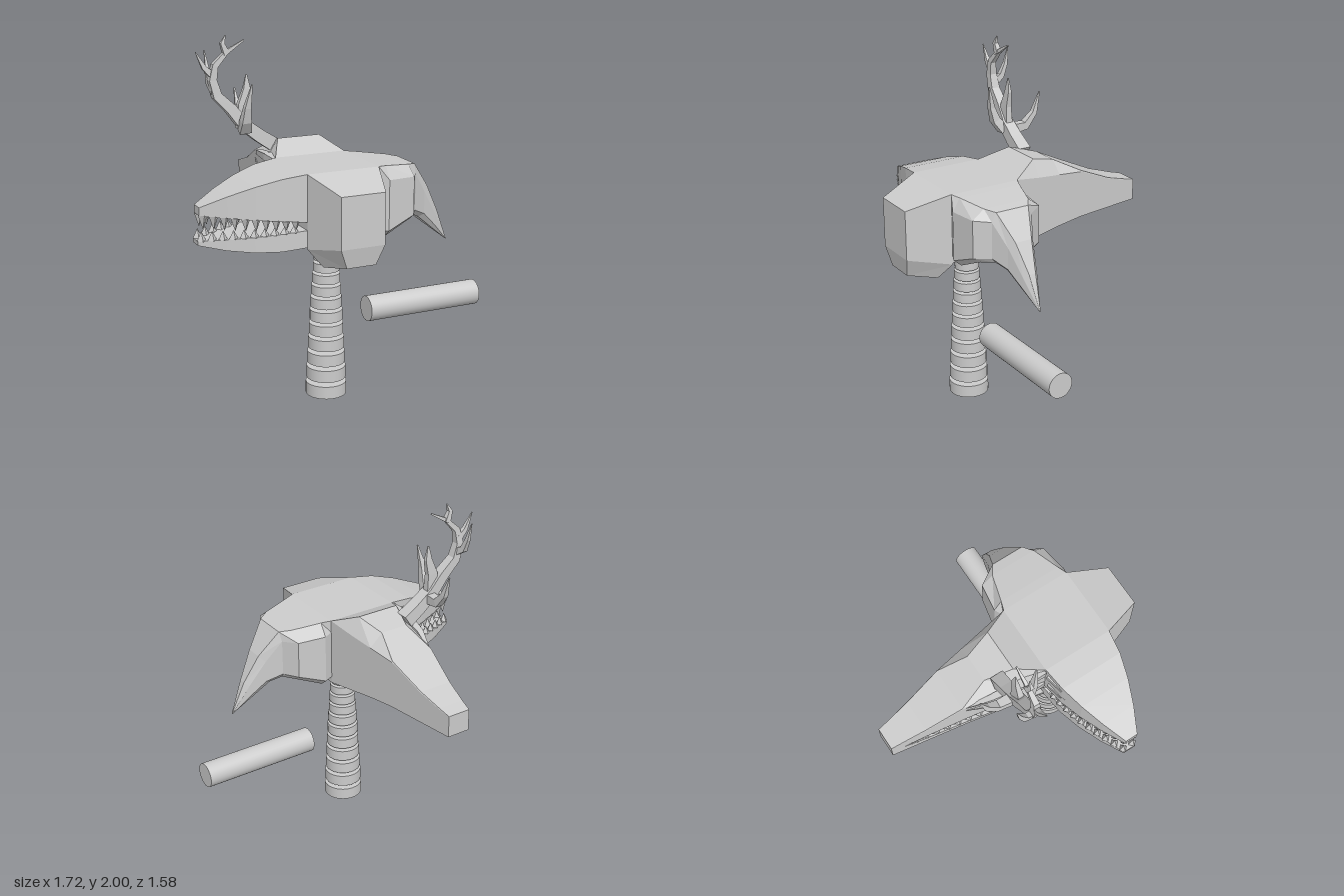
import * as THREE from 'three';

const V = (x, y, z) => new THREE.Vector3(x, y, z);
const X = V(1, 0, 0), Y = V(0, 1, 0), Z = V(0, 0, 1);
const CX = -0.1, CZ = 0.34;
const flat = new THREE.MeshStandardMaterial({ color: 0xcccccc, flatShading: true });
const smooth = new THREE.MeshStandardMaterial({ color: 0xcccccc });

// Skin a row of equal-sized cross-sections, with fan caps, facing outward
function loft(rings) {
  const tris = [], n = rings[0].length;
  for (let i = 0; i < rings.length - 1; i++)
    for (let j = 0; j < n; j++) {
      const k = (j + 1) % n, a = rings[i], b = rings[i + 1];
      tris.push([a[j], b[j], b[k]], [a[j], b[k], a[k]]);
    }
  const s = rings[0], e = rings[rings.length - 1];
  for (let j = 1; j < n - 1; j++) tris.push([s[0], s[j], s[j + 1]], [e[0], e[j + 1], e[j]]);
  const cross = (a, b, c) => b.clone().sub(a).cross(c.clone().sub(a));
  let volume = 0;
  for (const [a, b, c] of tris) volume += a.clone().sub(s[0]).dot(cross(a, b, c));
  const points = tris.filter(([a, b, c]) => cross(a, b, c).length() > 1e-9)
    .flatMap(([a, b, c]) => (volume < 0 ? [a, c, b] : [a, b, c]));
  const g = new THREE.BufferGeometry().setFromPoints(points);
  g.computeVertexNormals();
  return g;
}

// Four-sided branch that tapers to a tip; widest where bulge of its length is passed
function branch(ref, width, depth, points) {
  const p = points.map(q => V(...q)), last = p.length - 1;
  return loft(p.map((c, i) => {
    const t = p[Math.min(i + 1, last)].clone().sub(p[Math.max(i - 1, 0)]).normalize();
    const u = t.clone().cross(ref).normalize(), w = u.clone().cross(t).normalize();
    const f = Math.max(0.1, Math.pow(1 - i / last, 0.6));
    return [[1, 1], [-1, 1], [-1, -1], [1, -1]].map(([a, b]) =>
      c.clone().addScaledVector(u, a * f * width).addScaledVector(w, b * f * depth));
  }));
}

export function createModel() {
  const model = new THREE.Group();
  const group = name => {
    const g = new THREE.Group();
    g.name = name;
    model.add(g);
    return g;
  };
  const add = (name, geo, mat = flat, parent = model) => {
    const m = new THREE.Mesh(geo, mat);
    m.name = name;
    parent.add(m);
    return m;
  };

  // Handle: separate stacked rings, thinner and closer towards the top
  const handle = group('handle');
  for (let i = 0; i < 12; i++) {
    const h = 0.072 - 0.0026 * i, r = 0.115 - 0.0046 * i;
    add('handleRing', new THREE.CylinderGeometry(r, r, h, 32), smooth, handle)
      .position.set(CX, 0.098 * i - 0.0019 * i * i + h / 2, CZ);
  }

  // Loose rod beside the handle
  const rod = add('rod', new THREE.CylinderGeometry(0.073, 0.073, 0.705, 32), smooth);
  rod.rotation.z = Math.PI / 2;
  rod.position.set(0.505, 0.46, CZ);

  // Central core
  add('core', new THREE.BoxGeometry(0.42, 0.4, 0.42)).position.set(CX, 1.14, CZ);

  // Front hammer block with tapered cheeks and chin: [halfWidth, y, z]
  const block = [[0.21, 0.93, 0.55], [0.21, 1.34, 0.55], [0.128, 1.265, 0.79],
    [0.128, 0.98, 0.79], [0.085, 0.87, 0.77], [0.145, 0.84, 0.61]];
  add('frontBlock', loft([-1, 1].map(s => block.map(([w, y, z]) => V(CX + s * w, y, z)))));

  // Hooked beak: [topX, topY, topHalfWidth, midHalfWidth, bottomY, backward slant]
  const beak = [[0.11, 1.34, 0.21, 0.21, 0.94, 0], [0.165, 1.335, 0.19, 0.235, 0.94, 0],
    [0.33, 1.315, 0.14, 0.21, 1.015, 0], [0.39, 1.305, 0.1, 0.125, 1.015, 0.01],
    [0.5, 1.16, 0.05, 0.08, 0.985, 0.06], [0.585, 1, 0.02, 0.045, 0.905, 0.045],
    [0.66, 0.815, 0.002, 0.003, 0.81, 0]];
  add('beak', loft(beak.map(([x, top, tw, mw, bottom, slant]) => {
    const high = top - 0.18 * (top - bottom), low = bottom + 0.1 * (top - bottom);
    const half = s => [V(x, top, CZ + s * tw), V(x - slant / 2, high, CZ + s * mw),
      V(x - slant / 2, low, CZ + s * mw), V(x - slant, bottom, CZ + s * mw * 0.8)];
    return [...half(1), ...half(-1).reverse()];
  })));

  // Open jaws narrowing towards the tip
  const jawWidth = t => 0.21 - 0.172 * Math.pow(t, 1.6);
  const jaw = (length, top, bottom) => loft([0, 0.25, 0.5, 0.75, 1].map(t => {
    const x = -0.31 - length * t, w = jawWidth(t);
    return [V(x, top(t), CZ - w), V(x, top(t), CZ + w),
      V(x, bottom(t), CZ + w), V(x, bottom(t), CZ - w)];
  }));
  add('upperJaw', jaw(0.54, t => 1.34 - 0.16 * Math.pow(t, 1.6), t => 1.08 + 0.055 * t));
  add('lowerJaw', jaw(0.55, t => 1.035 - 0.037 * t, t => 0.94 - 0.07 * t + 0.105 * t * t));

  // A tooth pointing up (dir 1) or down (dir -1) from its root
  const teeth = group('teeth');
  const tooth = (x, y, z, h, dir) => {
    const t = add('tooth', new THREE.ConeGeometry(0.026, h, 4), flat, teeth);
    t.position.set(x, y + dir * h * 0.45, z);
    if (dir < 0) t.rotation.x = Math.PI;
  };
  for (let i = 0; i < 10; i++) {
    const t = 0.96 - i * 0.095, x = -0.31 - 0.54 * t, w = jawWidth(t) - 0.018;
    for (const s of [-1, 1]) {
      tooth(x, 1.08 + 0.055 * t, CZ + s * w, 0.055 + 0.025 * t, -1);
      tooth(x - 0.01, 1.035 - 0.037 * t, CZ + s * w, 0.035 + 0.02 * t, 1);
    }
  }

  // Long rear snout with a mouth groove in its right side: [z, top inset, topY]
  const snout = [[0.13, 0, 1.34], [-0.03, 0.058, 1.41], [-0.19, 0.077, 1.365],
    [-0.36, 0.003, 1.278], [-0.58, 0.003, 1.18], [-0.72, 0.002, 1.138], [-0.79, 0, 1.12]];
  const rightSide = z => -0.31 + 0.158 * (0.13 - z);
  const floor = z => Math.min(0.94 + 0.125 * (0.13 - z), 0.993);
  const groove = z => Math.sqrt(Math.max(0, (z + 0.72) / 0.85));
  add('snout', loft(snout.map(([z, inset, top]) => {
    const r = rightSide(z), l = 0.11 - 0.152 * (0.13 - z), b = floor(z);
    const side = Math.min(top - 0.005, 1.335 - 0.13 * (0.13 - z));
    const g = 0.045 * groove(z), d = 0.06 * groove(z), m = b + 0.065;
    return [V(l - inset, top, z), V(l, side, z), V(l, b, z), V(r, b, z), V(r, m - g, z),
      V(r + d, m - g, z), V(r + d, m + g, z), V(r, m + g, z), V(r, side, z),
      V(r + inset, top, z)];
  })));
  for (let i = 0; i < 12; i++) {
    const z = -0.67 + i * 0.064, x = rightSide(z) + 0.018;
    const m = floor(z) + 0.065, g = 0.045 * groove(z), h = 0.025 + 0.03 * groove(z);
    tooth(x, m + g, z, h, -1);
    tooth(x, m - g, z + 0.03, h * 0.8, 1);
  }

  // Eye sockets: brow and cheek ridges on the snout and the upper jaw
  add('snoutBrow', branch(Y, 0.035, 0.025,
    [[-0.29, 1.31, 0.12], [-0.3, 1.32, 0], [-0.27, 1.3, -0.2], [-0.225, 1.26, -0.36]]));
  add('snoutCheek', branch(Y, 0.03, 0.025,
    [[-0.29, 1.13, 0.12], [-0.3, 1.14, 0], [-0.265, 1.16, -0.18], [-0.235, 1.23, -0.34]]));
  add('jawBrow', branch(Y, 0.015, 0.018,
    [[-0.33, 1.28, 0.135], [-0.42, 1.27, 0.15], [-0.53, 1.21, 0.178]]));
  add('jawCheek', branch(Y, 0.015, 0.014,
    [[-0.34, 1.17, 0.138], [-0.43, 1.165, 0.152], [-0.53, 1.2, 0.178]]));

  // Antler: main beam and tines
  const antler = group('antler');
  const horn = (name, ref, width, depth, points) =>
    add(name, branch(ref, width, depth, points), flat, antler);
  horn('antlerBeam', Z, 0.04, 0.04, [[-0.22, 1.36, -0.12], [-0.31, 1.42, -0.12],
    [-0.4, 1.49, -0.12], [-0.47, 1.58, -0.125], [-0.55, 1.66, -0.13], [-0.575, 1.75, -0.13],
    [-0.56, 1.83, -0.125], [-0.49, 1.9, -0.125], [-0.385, 1.96, -0.125]]);
  horn('outerTine', Z, 0.02, 0.018,
    [[-0.565, 1.77, -0.13], [-0.62, 1.82, -0.13], [-0.668, 1.91, -0.13]]);
  horn('topTine', Z, 0.018, 0.018,
    [[-0.49, 1.89, -0.125], [-0.515, 1.95, -0.122], [-0.495, 1.995, -0.12]]);
  horn('backTine', X, 0.03, 0.03,
    [[-0.38, 1.46, -0.11], [-0.37, 1.47, -0.23], [-0.365, 1.54, -0.29], [-0.365, 1.66, -0.33]]);
  horn('frontTine', X, 0.03, 0.035,
    [[-0.4, 1.46, -0.1], [-0.41, 1.52, -0.05], [-0.41, 1.6, -0.025], [-0.39, 1.73, 0]]);
  horn('upperBackTine', X, 0.022, 0.02,
    [[-0.565, 1.69, -0.12], [-0.57, 1.73, -0.19], [-0.57, 1.8, -0.222], [-0.575, 1.9, -0.245]]);
  horn('innerTine', Z, 0.04, 0.022,
    [[-0.4, 1.47, -0.12], [-0.4, 1.6, -0.12], [-0.375, 1.69, -0.12], [-0.375, 1.77, -0.12]]);

  return model;
}
